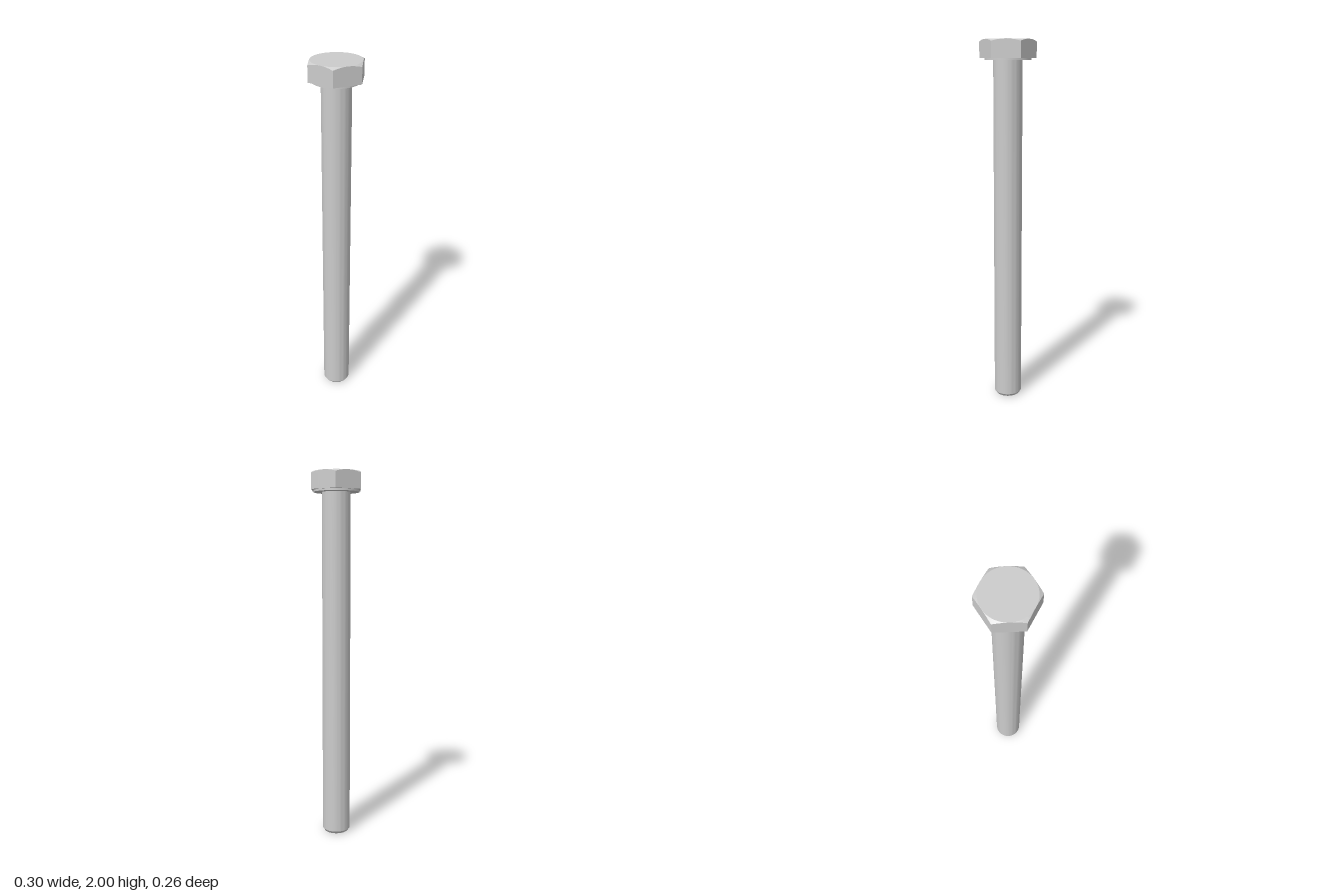
import * as THREE from 'three';
import { toCreasedNormals } from 'three/addons/utils/BufferGeometryUtils.js';

const material = new THREE.MeshStandardMaterial({ color: 0xcccccc });

// Revolve [radius, y] points listed from bottom to top
function revolve(points, segments) {
  return new THREE.LatheGeometry(points.map(([r, y]) => new THREE.Vector2(r, y)), segments);
}

function addPart(group, name, geometry) {
  const mesh = new THREE.Mesh(toCreasedNormals(geometry, 0.3), material);
  mesh.name = name;
  group.add(mesh);
}

export function createModel() {
  const group = new THREE.Group();
  group.name = 'hexBolt';
  const apothem = 0.13, corner = 0.15, top = 2, headBottom = 1.905;

  // Hexagonal head: rim rings pushed out to a hexagon, corners on the x axis,
  // with a 30 degree conical chamfer cutting the top corners
  const head = revolve([[0, headBottom], [corner, headBottom], [corner, top], [apothem, top], [0, top]], 96);
  const pos = head.attributes.position;
  const sector = Math.PI / 3;
  for (let i = 0; i < pos.count; i++) {
    const x = pos.getX(i), y = pos.getY(i), z = pos.getZ(i);
    if (Math.hypot(x, z) < corner - 0.001) continue;
    const angle = Math.atan2(x, z);
    const offset = angle - Math.round(angle / sector) * sector;
    const r = apothem / Math.cos(offset);
    const drop = y > headBottom + 0.01 ? (r - apothem) * Math.tan(Math.PI / 6) : 0;
    pos.setXYZ(i, r * Math.sin(angle), y - drop, r * Math.cos(angle));
  }
  addPart(group, 'head', head);

  // Round bearing face under the head
  addPart(group, 'washerFace', revolve([[0, 1.895], [0.123, 1.895], [0.123, 1.906]], 64));

  // Plain shank with a chamfered tip
  addPart(group, 'shank', revolve([[0, 0], [0.066, 0], [0.077, 0.015], [0.077, 1.9]], 64));

  return group;
}
